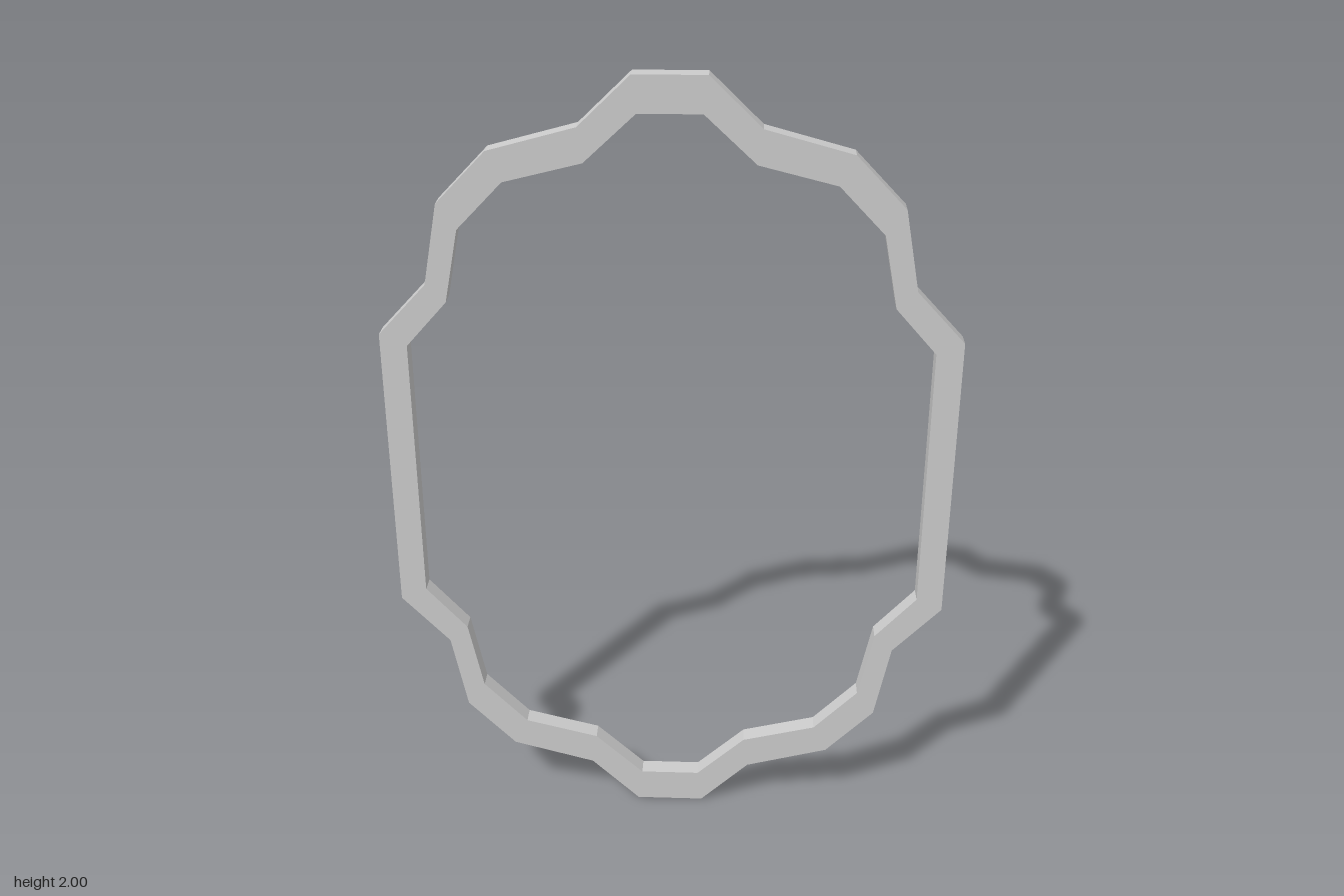
import * as THREE from 'three';

const HALF_DEPTH = 0.024;

// One quadrant of each outline, from the top edge to the side, measured from the centre
const OUTER = [[0.087, 1.0], [0.212, 0.88], [0.423, 0.823], [0.545, 0.697], [0.583, 0.498], [0.703, 0.37]];
const INNER = [[0.076, 0.912], [0.2, 0.797], [0.388, 0.75], [0.499, 0.635], [0.535, 0.455], [0.637, 0.341]];

// Mirror a quadrant into a closed counter-clockwise outline centred at y = 1
function outline(quadrant) {
  const back = [...quadrant].reverse();
  const place = (pts, sx, sy) => pts.map(([x, y]) => new THREE.Vector2(sx * x, 1 + sy * y));
  return [
    ...place(quadrant, -1, 1),
    ...place(back, -1, -1),
    ...place(quadrant, 1, -1),
    ...place(back, 1, 1),
  ];
}

export function createModel() {
  const group = new THREE.Group();
  group.name = 'scallopedFrame';

  // Flat ring with a scalloped outer and inner edge
  const shape = new THREE.Shape(outline(OUTER));
  shape.holes.push(new THREE.Path(outline(INNER)));
  const geometry = new THREE.ExtrudeGeometry(shape, { depth: 2 * HALF_DEPTH, bevelEnabled: false });
  geometry.translate(0, 0, -HALF_DEPTH);

  const material = new THREE.MeshStandardMaterial({ color: 0xcccccc, flatShading: true });
  const frame = new THREE.Mesh(geometry, material);
  frame.name = 'frameRing';
  group.add(frame);
  return group;
}
